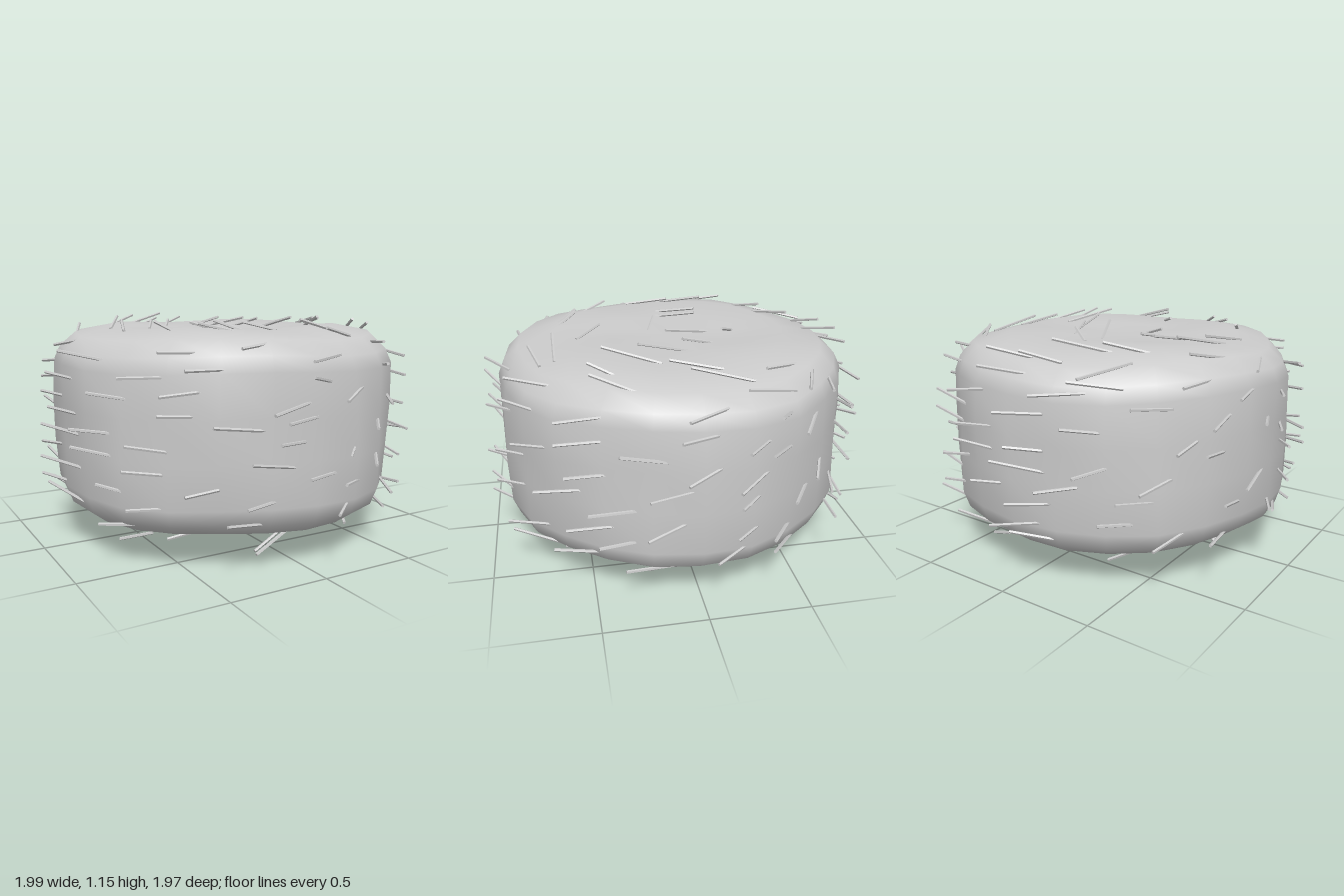
import * as THREE from 'three';
import { mergeVertices } from 'three/addons/utils/BufferGeometryUtils.js';

const CX = 0.02, CZ = 0.01;

// half outline of the bale: radius, height
const PROFILE = [
  [0, 0.155], [0.32, 0.15], [0.6, 0.135], [0.79, 0.17], [0.865, 0.225], [0.895, 0.31],
  [0.9, 0.52], [0.9, 0.72], [0.895, 0.92], [0.865, 0.99], [0.79, 1.06], [0.6, 1.1],
  [0.32, 1.085], [0, 1.075],
];

// straws lying on the top: x, z of the tucked end, then x, z of the raised end
const TOP_STRAWS = [
  [-0.48, -0.7, -0.28, -0.84], [-0.17, -0.73, 0, -0.82], [0, -0.73, 0.18, -0.84],
  [-0.47, -0.43, -0.27, -0.56], [-0.3, -0.53, -0.05, -0.65], [-0.73, -0.2, -0.64, -0.42],
  [-0.61, -0.02, -0.48, -0.26], [-0.61, 0.16, -0.53, -0.07], [-0.41, 0.01, -0.31, -0.19],
  [-0.33, 0.03, -0.22, -0.17], [0.01, -0.33, 0.14, -0.24], [0, -0.2, 0.13, 0.05],
  [0.2, -0.18, 0.26, -0.01], [0.3, -0.03, 0.33, 0.22], [0.49, 0.13, 0.37, 0.4],
  [0.54, -0.51, 0.69, -0.31], [0.73, -0.44, 0.83, -0.19], [0.72, -0.25, 0.66, 0.03],
  [0.62, -0.13, 0.56, 0.11], [0.76, 0.27, 0.64, 0.48], [0.6, 0.35, 0.54, 0.48],
  [0.35, 0.69, 0.17, 0.74], [0.34, 0.62, 0.1, 0.62], [-0.07, 0.11, -0.2, 0.06],
  [0.05, 0.5, -0.07, 0.37], [-0.46, 0.43, -0.51, 0.3], [-0.23, 0.59, -0.37, 0.48],
  [-0.19, 0.58, -0.29, 0.48],
];

function seeded(seed) {
  return () => {
    seed = (seed * 16807) % 2147483647;
    return seed / 2147483647;
  };
}

// height of the upper face at a given distance from the axis
function topHeight(r) {
  for (let i = PROFILE.length - 1; i > 7; i--) {
    const [r0, y0] = PROFILE[i], [r1, y1] = PROFILE[i - 1];
    if (r <= r1) return y0 + (y1 - y0) * (r - r0) / (r1 - r0);
  }
  return 0.9;
}

// distance of the side wall from the axis at a given height
function wallRadius(y) {
  for (let i = 3; i < 10; i++) {
    const [r0, y0] = PROFILE[i], [r1, y1] = PROFILE[i + 1];
    if (y >= y0 && y <= y1) return r0 + (r1 - r0) * (y - y0) / (y1 - y0);
  }
  return 0.8;
}

// slightly lumpy round body with shared, smooth normals
function makeBody(material) {
  let geo = new THREE.LatheGeometry(PROFILE.map(([r, y]) => new THREE.Vector2(r, y)), 24);
  geo.deleteAttribute('uv');
  geo.deleteAttribute('normal');
  geo = mergeVertices(geo, 1e-4);
  const p = geo.attributes.position;
  for (let i = 0; i < p.count; i++) {
    const x = p.getX(i), y = p.getY(i), z = p.getZ(i);
    const a = Math.atan2(z, x), r = Math.hypot(x, z);
    const s = 1 + 0.009 * Math.sin(5 * a + 4 * y) + 0.006 * Math.sin(9 * a - 7 * y);
    const lift = 0.014 * r * Math.sin(4 * a + 2 + 5 * r) * (y > 0.6 ? 1 : 0.7);
    p.setXYZ(i, x * s + CX, y + lift, z * s + CZ);
  }
  geo.computeVertexNormals();
  const body = new THREE.Mesh(geo, material);
  body.name = 'baleBody';
  return body;
}

export function createModel() {
  const model = new THREE.Group();
  model.name = 'hayBale';
  const smooth = new THREE.MeshStandardMaterial({ color: 0xcccccc });
  const flat = new THREE.MeshStandardMaterial({ color: 0xcccccc, flatShading: true });
  model.add(makeBody(smooth));

  const stalk = new THREE.CylinderGeometry(0.008, 0.008, 1, 5);
  const up = new THREE.Vector3(0, 1, 0);
  function addStraw(group, from, to) {
    const dir = to.clone().sub(from);
    const straw = new THREE.Mesh(stalk, flat);
    straw.name = 'straw';
    straw.scale.y = dir.length();
    straw.position.copy(from).add(to).multiplyScalar(0.5);
    straw.quaternion.setFromUnitVectors(up, dir.normalize());
    group.add(straw);
  }
  function strawGroup(name) {
    const group = new THREE.Group();
    group.name = name;
    model.add(group);
    return group;
  }
  const rand = seeded(4711);

  // straws on the upper face
  const top = strawGroup('topStraws');
  for (const [x0, z0, x1, z1] of TOP_STRAWS) {
    const y0 = topHeight(Math.hypot(x0 - CX, z0 - CZ)), y1 = topHeight(Math.hypot(x1 - CX, z1 - CZ));
    addStraw(top, new THREE.Vector3(x0, y0 - 0.005, z0),
      new THREE.Vector3(x1, Math.max(y0, y1) + 0.025 + 0.03 * rand(), z1));
  }

  // straws swirling around the wall, their free ends leaning outward
  const side = strawGroup('sideStraws');
  const count = 110;
  for (let i = 0; i < count; i++) {
    const a = i * 2.39996 + 0.3 * rand();
    const y = 0.2 + 0.86 * (i + rand()) / count;
    const r = wallRadius(y);
    const base = new THREE.Vector3(CX + r * Math.cos(a), y, CZ + r * Math.sin(a));
    const tilt = 0.3 + 0.25 * rand(), slope = (rand() - 0.45) * 0.45;
    const dir = new THREE.Vector3(-Math.sin(a), slope, Math.cos(a)).multiplyScalar(Math.cos(tilt));
    dir.x += Math.cos(a) * Math.sin(tilt);
    dir.z += Math.sin(a) * Math.sin(tilt);
    dir.normalize();
    const reach = 0.14 + 0.07 * rand();
    const tip = base.clone().addScaledVector(dir, reach);
    tip.x = THREE.MathUtils.clamp(tip.x, -0.993, 0.993);
    tip.z = THREE.MathUtils.clamp(tip.z, -0.993, 0.993);
    addStraw(side, base.addScaledVector(dir, -0.07), tip);
  }

  // straws poking out of the underside
  const under = strawGroup('bottomStraws');
  for (let i = 0; i < 24; i++) {
    const a = i * 2.39996, r = 0.78 * Math.sqrt((i + 0.5) / 24);
    const heading = a + Math.PI / 2 + (rand() - 0.5) * 0.7;
    const length = 0.13 + 0.1 * rand();
    const from = new THREE.Vector3(CX + r * Math.cos(a), 0.15, CZ + r * Math.sin(a));
    const to = from.clone().add(new THREE.Vector3(Math.cos(heading) * length, -0.04 - 0.04 * rand(), Math.sin(heading) * length));
    addStraw(under, from, to);
  }
  addStraw(under, new THREE.Vector3(0.14, 0.14, 0.56), new THREE.Vector3(-0.11, 0.008, 0.57));

  return model;
}
